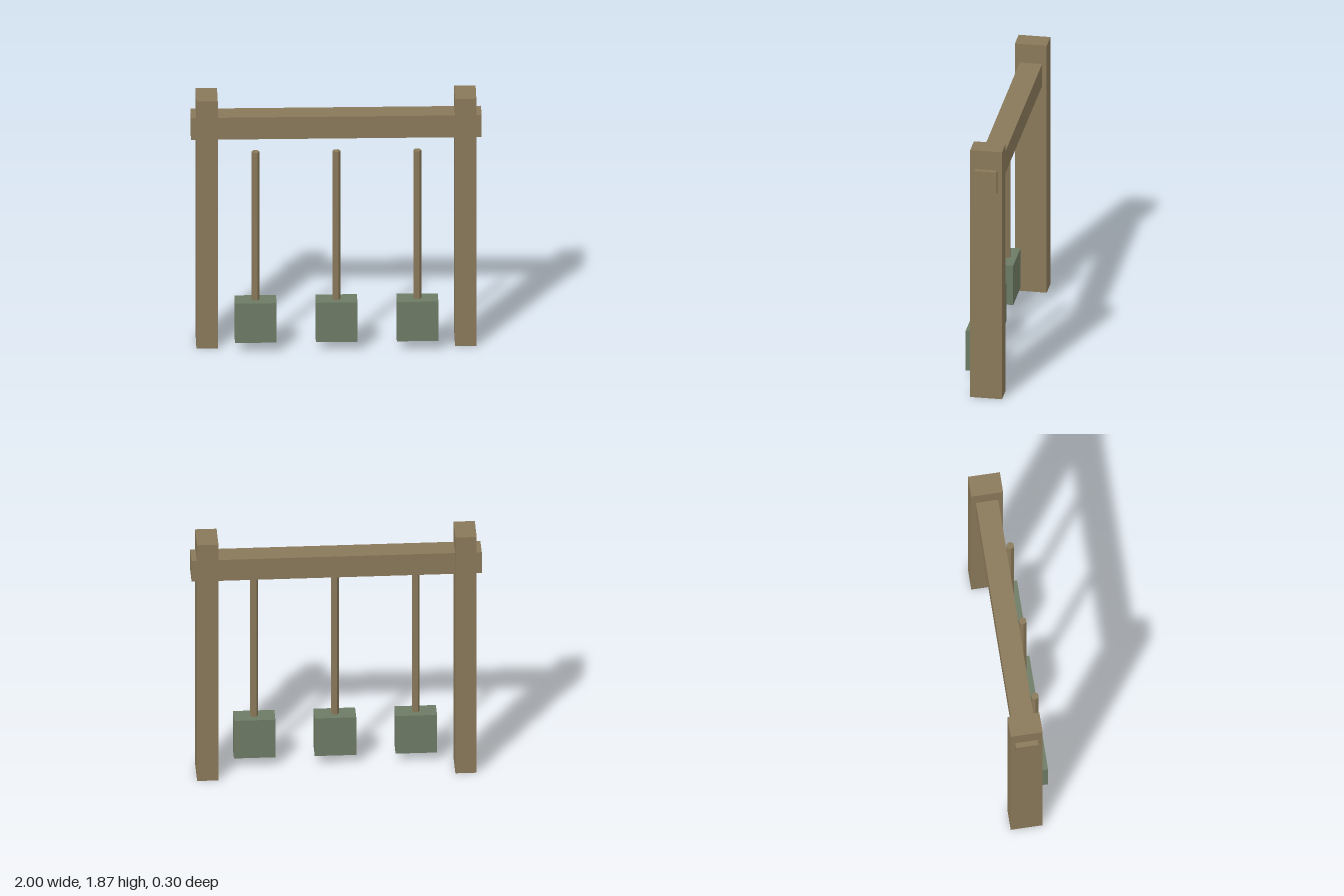
import * as THREE from 'three';

const wood = new THREE.MeshStandardMaterial({ color: 0x8a795a });
wood.name = 'wood';
const paddedGreen = new THREE.MeshStandardMaterial({ color: 0x6d7b65 });
paddedGreen.name = 'mossy green';
wood.flatShading = true;

function addMesh(parent, name, geometry, material, x, y, z) {
  const mesh = new THREE.Mesh(geometry, material);
  mesh.name = name;
  mesh.position.set(x, y, z);
  parent.add(mesh);
  return mesh;
}

export function createModel() {
  const model = new THREE.Group();
  model.name = 'hangingFrame';

  // Upright posts, mirrored left and right
  const postGeometry = new THREE.BoxGeometry(0.147, 1.87, 0.222);
  for (const side of [-1, 1]) {
    addMesh(model, side > 0 ? 'leftPost' : 'rightPost', postGeometry, wood, side * 0.89, 0.935, -0.039);
  }

  // Crossbeam passing through both posts
  addMesh(model, 'crossbeam', new THREE.BoxGeometry(2, 0.165, 0.156), wood, 0, 1.647, -0.04);

  // Three blocks, each on a six-sided rod with a flat face to the front
  const rodGeometry = new THREE.CylinderGeometry(0.0275, 0.0275, 1.12, 6).rotateY(Math.PI / 6);
  const blockGeometry = new THREE.BoxGeometry(0.286, 0.298, 0.137);
  for (const x of [-0.557, 0, 0.557]) {
    const hanger = new THREE.Group();
    hanger.name = 'hanger';
    hanger.position.set(x, 0, 0.082);
    addMesh(hanger, 'rod', rodGeometry, wood, 0, 0.932, 0);
    addMesh(hanger, 'block', blockGeometry, paddedGreen, 0, 0.225, 0);
    model.add(hanger);
  }
  return model;
}
